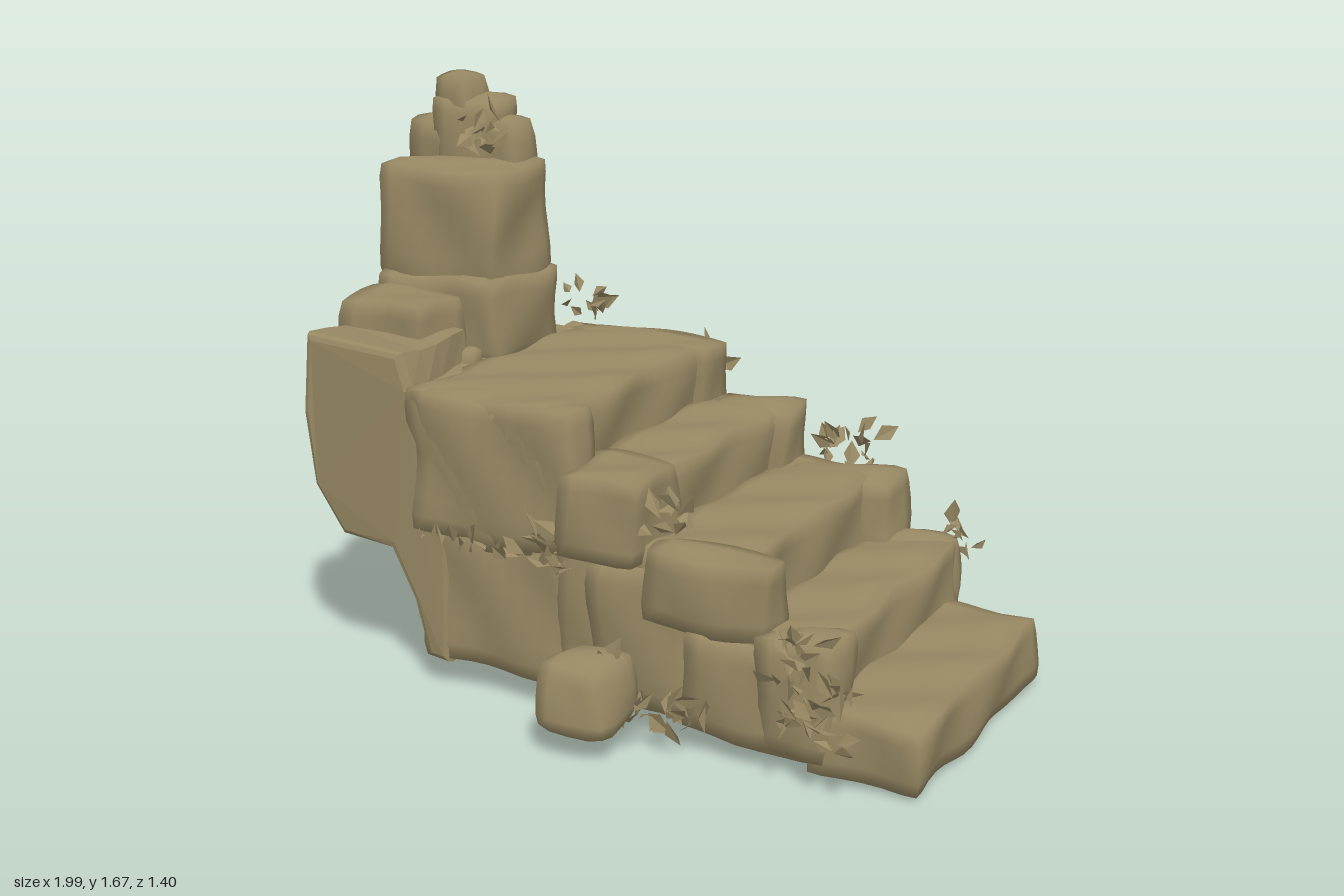
import * as THREE from 'three';
import { mergeVertices, mergeGeometries } from 'three/addons/utils/BufferGeometryUtils.js';

let seed = 7;
const rand = () => (seed = (seed * 16807) % 2147483647) / 2147483647;

// Lumpy offset that gives the stones a worn surface
function wear(v, s) {
  const a = 0.009;
  return new THREE.Vector3(
    v.x + a * Math.sin(v.y * 17 + v.z * 13 + s),
    v.y + a * Math.sin(v.x * 15 + v.z * 19 + s * 2) * 0.8,
    v.z + a * Math.sin(v.x * 19 + v.y * 14 + s * 3));
}

function smooth(geo) {
  geo.deleteAttribute('uv');
  geo.deleteAttribute('normal');
  const merged = mergeVertices(geo, 1e-4);
  merged.computeVertexNormals();
  return merged;
}

// Worn stone block between two corners; taper shrinks its top
function stone([x0, x1], [y0, y1], [z0, z1], taper = 0, r = 0.026) {
  const size = new THREE.Vector3(x1 - x0, y1 - y0, z1 - z0);
  const half = size.clone().multiplyScalar(0.5);
  const n = size.toArray().map(s => Math.max(3, Math.round(s / 0.055)));
  const geo = new THREE.BoxGeometry(size.x, size.y, size.z, ...n);
  const centre = new THREE.Vector3((x0 + x1) / 2, (y0 + y1) / 2, (z0 + z1) / 2);
  const inner = half.clone().subScalar(r);
  const s = rand() * 6;
  const p = geo.attributes.position;
  const v = new THREE.Vector3();
  for (let i = 0; i < p.count; i++) {
    v.fromBufferAttribute(p, i);
    const c = v.clone().clamp(inner.clone().negate(), inner);
    v.sub(c).normalize().multiplyScalar(r).add(c);
    const k = 1 - taper * (v.y / size.y + 0.5);
    v.x *= k;
    v.z *= k;
    const w = wear(v.add(centre), s);
    p.setXYZ(i, w.x, w.y, w.z);
  }
  return smooth(geo);
}

// Overhanging slice of the end wall, extruded along z
function wallSlice(top, z0, z1, out) {
  const pts = [[-0.48, 0.08], [-0.48, 0.87], [-0.6, 0.88], [-0.62, top - 0.02], [-0.93 - out, top],
    [-0.95 - out, 0.76], [-0.93 - out, 0.54], [-0.85, 0.41], [-0.67, 0.4], [-0.58, 0.25], [-0.56, 0.08]];
  const shape = new THREE.Shape(pts.map(q => new THREE.Vector2(...q)));
  const geo = new THREE.ExtrudeGeometry(shape, {
    depth: z1 - z0 - 0.04, steps: 4, bevelEnabled: true,
    bevelThickness: 0.02, bevelSize: 0.018, bevelOffset: -0.018, bevelSegments: 2 });
  geo.translate(0, 0, z0 + 0.02);
  const p = geo.attributes.position;
  const v = new THREE.Vector3();
  for (let i = 0; i < p.count; i++) {
    const w = wear(v.fromBufferAttribute(p, i), 1);
    p.setXYZ(i, w.x, w.y, w.z);
  }
  geo.computeVertexNormals();
  return geo;
}

// Tuft of folded pointed leaves
function tuft(x, y, z, radius, count) {
  const leaves = [];
  for (let i = 0; i < count; i++) {
    const l = 0.05 + rand() * 0.045, w = l * 0.3;
    const geo = new THREE.BufferGeometry();
    geo.setAttribute('position', new THREE.Float32BufferAttribute([
      0, 0, 0, w, l * 0.5, 0.01, 0, l, 0, 0, 0, 0, 0, l, 0, -w, l * 0.5, 0.01], 3));
    geo.rotateX((rand() - 0.5) * 2.4);
    geo.rotateZ((rand() - 0.5) * 2.4);
    geo.rotateY(rand() * 6.28);
    geo.translate(x + (rand() - 0.5) * radius * 1.5, y + (rand() - 0.5) * radius * 1.5, z + (rand() - 0.5) * radius);
    geo.computeVertexNormals();
    leaves.push(geo);
  }
  return mergeGeometries(leaves);
}

export function createModel() {
  const group = new THREE.Group();
  const sandstone = new THREE.MeshStandardMaterial({ color: 0x978863, side: THREE.DoubleSide });
  const add = (name, geo) => {
    const mesh = new THREE.Mesh(geo, sandstone);
    mesh.name = name;
    group.add(mesh);
  };

  // Stair treads, lowest first
  [
    [[0.66, 0.985], [0.015, 0.21], [-0.44, 0.475]],
    [[0.41, 0.71], [0.035, 0.375], [-0.51, 0.46]],
    [[0.12, 0.455], [0.065, 0.55], [-0.54, 0.44]],
    [[-0.13, 0.145], [0.08, 0.715], [-0.54, 0.42]],
    [[-0.6, -0.1], [0.44, 0.885], [-0.52, 0.425]],
    [[-0.56, -0.08], [0.085, 0.5], [-0.5, 0.42]],
  ].forEach(b => add('stairBlock', stone(...b)));

  // Side stones capping the ends of the steps
  [
    [[-0.07, 0.18], [0.49, 0.74], [0.23, 0.505]],
    [[0.18, 0.555], [0.34, 0.56], [0.33, 0.48]],
    [[0.0, 0.33], [0.08, 0.49], [0.3, 0.46]],
    [[0.3, 0.6], [0.06, 0.35], [0.3, 0.485]],
    [[0.52, 0.74], [0.05, 0.385], [0.31, 0.49]],
    [[-0.58, -0.05], [0.46, 0.88], [0.3, 0.435]],
    [[-0.56, -0.07], [0.47, 0.885], [-0.535, -0.35]],
    [[-0.09, 0.19], [0.43, 0.72], [-0.555, -0.38]],
    [[0.17, 0.53], [0.3, 0.55], [-0.555, -0.37]],
    [[0.48, 0.7], [0.1, 0.375], [-0.535, -0.4]],
  ].forEach(b => add('sideStone', stone(...b)));

  // Fallen boulders resting on both sides
  for (const [z0, z1] of [[0.45, 0.695], [-0.7, -0.45]])
    add('boulder', stone([-0.045, 0.185], [0.07, 0.27], [z0, z1], 0.2, 0.045));

  // Overhanging end wall
  add('endWall', wallSlice(0.88, -0.5, -0.3, 0));
  add('endWall', wallSlice(0.9, -0.33, 0.12, 0.01));
  add('endWall', wallSlice(0.99, 0.08, 0.42, 0.01));
  add('wallCap', stone([-0.96, -0.66], [0.85, 1.07], [0, 0.24]));
  add('wallCap', stone([-0.65, -0.57], [0.84, 0.93], [0.05, 0.13], 0.2));

  // Broken tower
  add('towerBase', stone([-0.965, -0.545], [0.84, 1.11], [-0.325, 0.035]));
  add('towerShaft', stone([-0.99, -0.56], [1.05, 1.43], [-0.32, 0.01], 0.03, 0.04));
  add('towerTop', stone([-0.975, -0.8], [1.36, 1.54], [-0.315, -0.15]));
  add('towerTop', stone([-0.89, -0.68], [1.36, 1.61], [-0.315, -0.15]));
  add('towerTop', stone([-0.75, -0.6], [1.36, 1.55], [-0.31, -0.16], 0.15));
  add('towerPeak', stone([-0.89, -0.75], [1.5, 1.68], [-0.31, -0.155], 0.2));

  // Creeping plants: x, y, z, spread, leaves
  [
    [0.72, 0.25, 0.54, 0.13, 34], [0.64, 0.36, 0.5, 0.07, 12], [0.24, 0.63, 0.42, 0.07, 10],
    [-0.1, 0.49, 0.46, 0.08, 18], [0.35, 0.1, 0.5, 0.08, 14], [0.2, 0.1, 0.53, 0.06, 8],
    [0.1, 0.2, 0.56, 0.06, 8], [-0.67, 1.5, -0.09, 0.08, 14], [-0.75, 1.2, -0.34, 0.07, 10],
    [-0.57, 0.92, -0.52, 0.08, 14], [-0.88, 0.9, -0.42, 0.1, 18], [-0.18, 0.74, -0.58, 0.1, 18],
    [0.3, 0.55, -0.59, 0.1, 18], [0.68, 0.33, -0.55, 0.07, 12], [0.08, 0.25, -0.57, 0.1, 20],
    [0.25, 0.12, -0.52, 0.08, 12], [-0.3, 0.46, -0.52, 0.08, 12],
  ].forEach(t => add('plantTuft', tuft(...t)));

  // Hanging fringe along the front seam
  for (let x = -0.54; x < -0.2; x += 0.055) add('plantFringe', tuft(x, 0.45, 0.435, 0.02, 2));

  // Loose chips
  for (const [x, y, z] of [[-0.74, 0.13, 0.17], [0.66, 0.3, -0.53], [0.2, 0.05, -0.53]]) {
    const chip = new THREE.TetrahedronGeometry(0.045);
    chip.rotateZ(x * 3);
    chip.translate(x, y, z);
    add('chip', chip);
  }
  return group;
}
